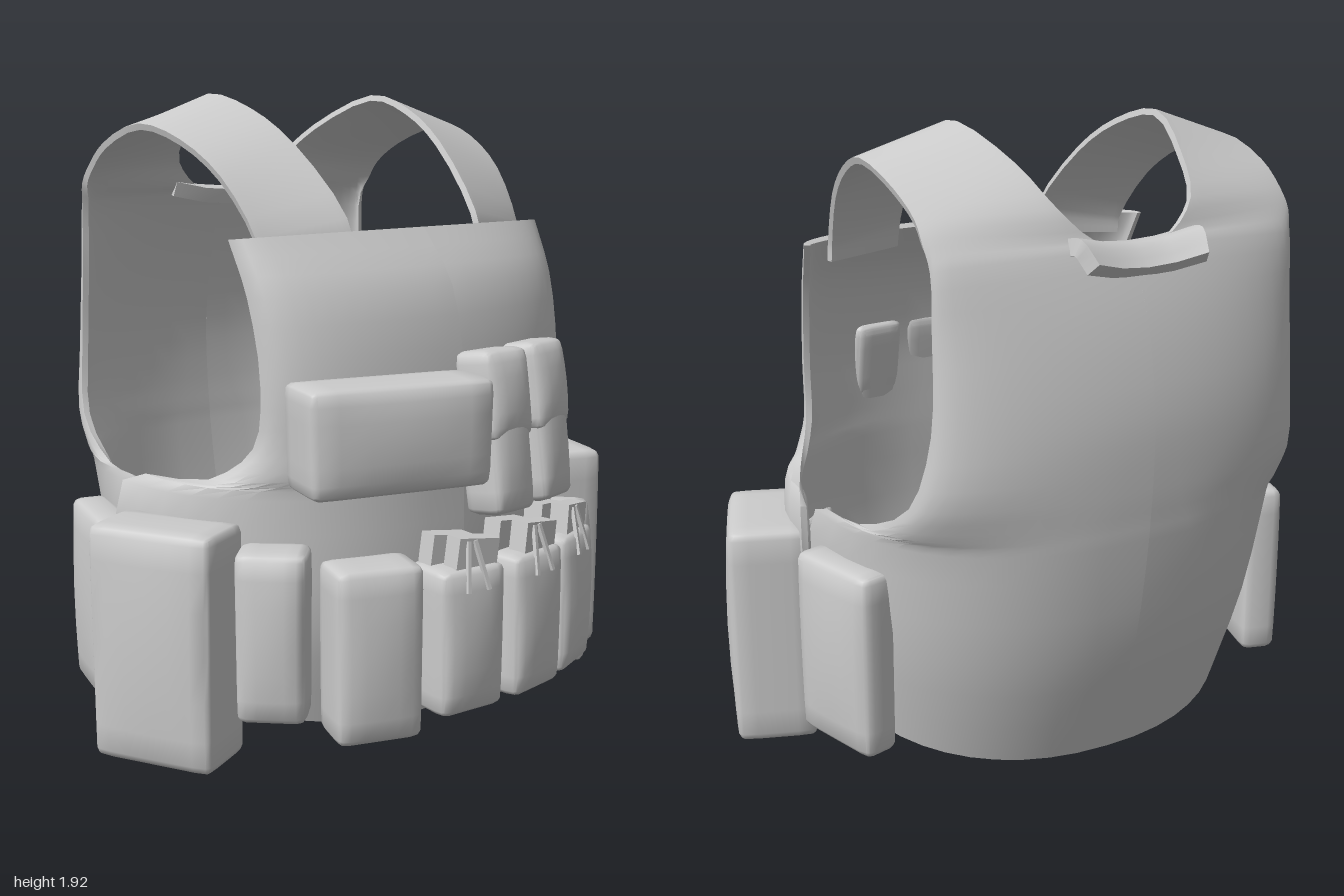
import * as THREE from 'three';
import { mergeVertices, toCreasedNormals } from 'three/addons/utils/BufferGeometryUtils.js';

const material = new THREE.MeshStandardMaterial({ color: 0xcccccc, roughness: 0.9 });

function addMesh(parent, name, geometry) {
  const mesh = new THREE.Mesh(geometry, material);
  mesh.name = name;
  parent.add(mesh);
  return mesh;
}

// Row of points from an inner to an outer edge: round 1 is a quarter ellipse, 0 is straight;
// a power below 1 makes the ellipse squarer.
function span(inner, outer, round, power = 1) {
  const a = new THREE.Vector3(...inner), b = new THREE.Vector3(...outer);
  return Array.from({ length: 13 }, (_, i) => {
    const t = i / 12, angle = t * Math.PI / 2;
    const u = THREE.MathUtils.lerp(t, Math.sin(angle) ** power, round);
    const v = THREE.MathUtils.lerp(t, 1 - Math.max(Math.cos(angle), 0) ** power, round);
    return new THREE.Vector3(a.x + (b.x - a.x) * u, a.y + (b.y - a.y) * v, a.z + (b.z - a.z) * v);
  });
}

const reverseRows = rows => rows.map(r => [...r].reverse());
const mirrorRows = rows => reverseRows(rows.map(r => r.map(p => new THREE.Vector3(-p.x, p.y, p.z))));

// Smooth padded sheet through rows of points; outside = row direction x row order.
function shell(rows, thickness) {
  const nu = rows[0].length - 1, nv = 3 * (rows.length - 1);
  const pts = [], index = [];
  for (let i = 0; i <= nu; i++) pts.push(...new THREE.CatmullRomCurve3(rows.map(r => r[i])).getPoints(nv));
  const id = (i, j) => i * (nv + 1) + j;
  for (let i = 0; i < nu; i++) {
    for (let j = 0; j < nv; j++) {
      const a = id(i, j), b = id(i + 1, j), c = id(i + 1, j + 1), d = id(i, j + 1);
      index.push(a, b, c, a, c, d);
    }
  }
  const outer = new THREE.BufferGeometry().setFromPoints(pts).setIndex(index);
  outer.computeVertexNormals();
  const n = pts.length;
  const lining = pts.map((p, k) => {
    const dir = new THREE.Vector3().fromBufferAttribute(outer.attributes.normal, k);
    if (Math.abs(p.x) < 1e-4) dir.setX(0).normalize();
    return p.clone().addScaledVector(dir, -thickness);
  });
  const all = index.slice();
  for (let k = 0; k < index.length; k += 3) all.push(index[k] + n, index[k + 2] + n, index[k + 1] + n);
  // rim joining the outside and the lining
  const loop = [];
  for (let i = 0; i < nu; i++) loop.push(id(i, 0));
  for (let j = 0; j < nv; j++) loop.push(id(nu, j));
  for (let i = nu; i > 0; i--) loop.push(id(i, nv));
  for (let j = nv; j > 0; j--) loop.push(id(0, j));
  loop.forEach((p, k) => {
    const q = loop[(k + 1) % loop.length];
    all.push(q, p, p + n, q, p + n, q + n);
  });
  const geo = new THREE.BufferGeometry().setFromPoints([...pts, ...lining]).setIndex(all);
  return toCreasedNormals(geo, 0.8);
}

// Soft box: rounded edges, bulging front, slightly narrower at the bottom.
function softBox(w, h, d, taper = 0.03) {
  const r = 0.03, bulge = 0.02;
  const box = new THREE.BoxGeometry(w, h, d, 8, 8, 6);
  box.deleteAttribute('uv');
  box.deleteAttribute('normal');
  const geo = mergeVertices(box), pos = geo.attributes.position;
  const size = new THREE.Vector3(w, h, d).multiplyScalar(0.5);
  const core = size.clone().subScalar(r), low = core.clone().negate();
  const v = new THREE.Vector3();
  for (let k = 0; k < pos.count; k++) {
    v.fromBufferAttribute(pos, k).divide(size);
    // crowd the grid towards the edges
    v.set(...v.toArray().map(t => Math.sin(t * Math.PI / 2)));
    const swell = bulge * (1 - v.x * v.x) * (1 - v.y * v.y) * Math.max(v.z, 0);
    const narrow = 1 - taper * (1 - v.y) / 2;
    v.multiply(size);
    const c = v.clone().clamp(low, core);
    v.sub(c).clampLength(0, r).add(c);
    pos.setXYZ(k, v.x * narrow, v.y, v.z + swell);
  }
  return toCreasedNormals(geo, 0.75);
}

function pouch(parent, name, size, at, turn, lean = 0) {
  const group = new THREE.Group();
  group.name = name;
  group.position.set(...at);
  group.rotation.set(lean, turn, 0, 'YXZ');
  addMesh(group, name + 'Body', softBox(...size));
  parent.add(group);
  return group;
}

// Half panel rows: power, centre y and z, then the outer edge point
const panelRows = table => table.map(([power, y, z, ...edge]) => span([0, y, z], edge, 1, power));

export function createModel() {
  const vest = new THREE.Group();
  vest.name = 'vest';

  // Back panel from hem to neck
  const backRows = panelRows([
    [.9, 0, -.565, .67, .15, -.02],
    [.85, .4, -.705, .73, .4, .03],
    [.8, .76, -.765, .74, .76, -.06],
    [.85, .82, -.77, .7, .785, -.3],
    [.95, .92, -.778, .65, .9, -.535],
    [1, 1.14, -.78, .61, 1.12, -.6],
    [1, 1.4, -.735, .6, 1.4, -.595],
    [1, 1.595, -.67, .6, 1.57, -.59],
  ]);
  // Strap over the shoulder: neck edge, then armhole edge
  const strapRows = [
    [[.13, 1.625, -.65], [.61, 1.64, -.57]],
    [[.22, 1.71, -.61], [.61, 1.7, -.525]],
    [[.275, 1.82, -.48], [.62, 1.77, -.42]],
    [[.34, 1.92, -.25], [.625, 1.83, -.21]],
    [[.325, 1.875, -.05], [.6, 1.785, -.03]],
    [[.3, 1.77, .13], [.57, 1.68, .13]],
    [[.265, 1.56, .33], [.54, 1.51, .25]],
    [[.265, 1.46, .36], [.54, 1.45, .26]],
  ].map(([inner, outer], k) => span(inner, outer, Math.max(0, 0.6 - 0.3 * k)));
  const backLeft = reverseRows([...backRows, ...strapRows]);
  addMesh(vest, 'backPanelLeft', shell(backLeft, .02));
  addMesh(vest, 'backPanelRight', shell(mirrorRows(backLeft), .02));

  // Front panel with the side band
  const frontLeft = panelRows([
    [.95, .05, .49, .69, .15, -.05],
    [.9, .4, .56, .78, .4, -.08],
    [.9, .77, .56, .795, .785, -.08],
    [.95, .84, .56, .68, .82, .2],
    [1, .95, .56, .61, .92, .32],
    [1, 1.1, .555, .6, 1.1, .345],
    [1, 1.36, .5, .61, 1.35, .3],
    [1, 1.525, .375, .625, 1.51, .235],
  ]);
  addMesh(vest, 'frontPanelLeft', shell(frontLeft, .02));
  addMesh(vest, 'frontPanelRight', shell(mirrorRows(frontLeft), .02));

  // Drag handle below the neck, sagging in the middle
  const handleRows = [[.21, 1.63, -.62], [.2, 1.64, -.7], [.18, 1.58, -.76]].map(([half, y, z]) =>
    [-1, -.5, 0, .5, 1].map(t => new THREE.Vector3(half * t, y - .03 * (1 - t * t), z + .03 * (1 - t * t))));
  addMesh(vest, 'dragHandle', shell(handleRows, .05));

  // Chest: wide utility pouch and two flapped pouches
  pouch(vest, 'utilityPouch', [.57, .31, .21], [-.348, .975, .61], -.29);
  for (const [x, z, turn] of [[.065, .62, .03], [.28, .58, .2]]) {
    const p = pouch(vest, 'chestPouch', [.18, .49, .14], [x, .93, z], turn, -.14);
    addMesh(p, 'pouchFlap', softBox(.188, .27, .152, 0)).position.set(0, .11, .006);
  }

  // Belly: three open pouches with inserts and retaining cords
  for (const [x, z, turn] of [[-.12, .655, -.1], [.14, .655, .12], [.375, .59, .34]]) {
    const p = pouch(vest, 'magazinePouch', [.24, .44, .18], [x, .35, z], turn);
    for (const s of [-1, 1]) {
      const insert = addMesh(p, 'magazine', new THREE.BoxGeometry(.15, .2, .06));
      insert.position.set(s * .018, .2, s * .037);
      insert.rotation.z = -.14;
      const cord = addMesh(p, 'retainingCord', new THREE.BoxGeometry(.012, .15, .012));
      cord.position.set(s * .025, .225, .085);
      cord.rotation.set(-.25, 0, s * .18);
    }
  }

  // Corner pouches, one each side of the belly row
  pouch(vest, 'frontRightPouch', [.27, .52, .18], [-.38, .34, .57], -.36);
  pouch(vest, 'cornerRightPouch', [.21, .5, .16], [-.625, .405, .43], -.8);
  pouch(vest, 'cornerLeftPouch', [.24, .52, .17], [.62, .31, .41], .7);
  // Large side pouches and flat rear pouches
  pouch(vest, 'sideLeftPouch', [.41, .7, .25], [.82, .362, .135], 1.22);
  pouch(vest, 'sideRightPouch', [.4, .7, .22], [-.82, .362, .18], -1.13);
  pouch(vest, 'rearLeftPouch', [.33, .58, .12], [.735, .375, -.26], 1.84);
  pouch(vest, 'rearRightPouch', [.32, .58, .12], [-.765, .375, -.25], -1.86);

  return vest;
}
